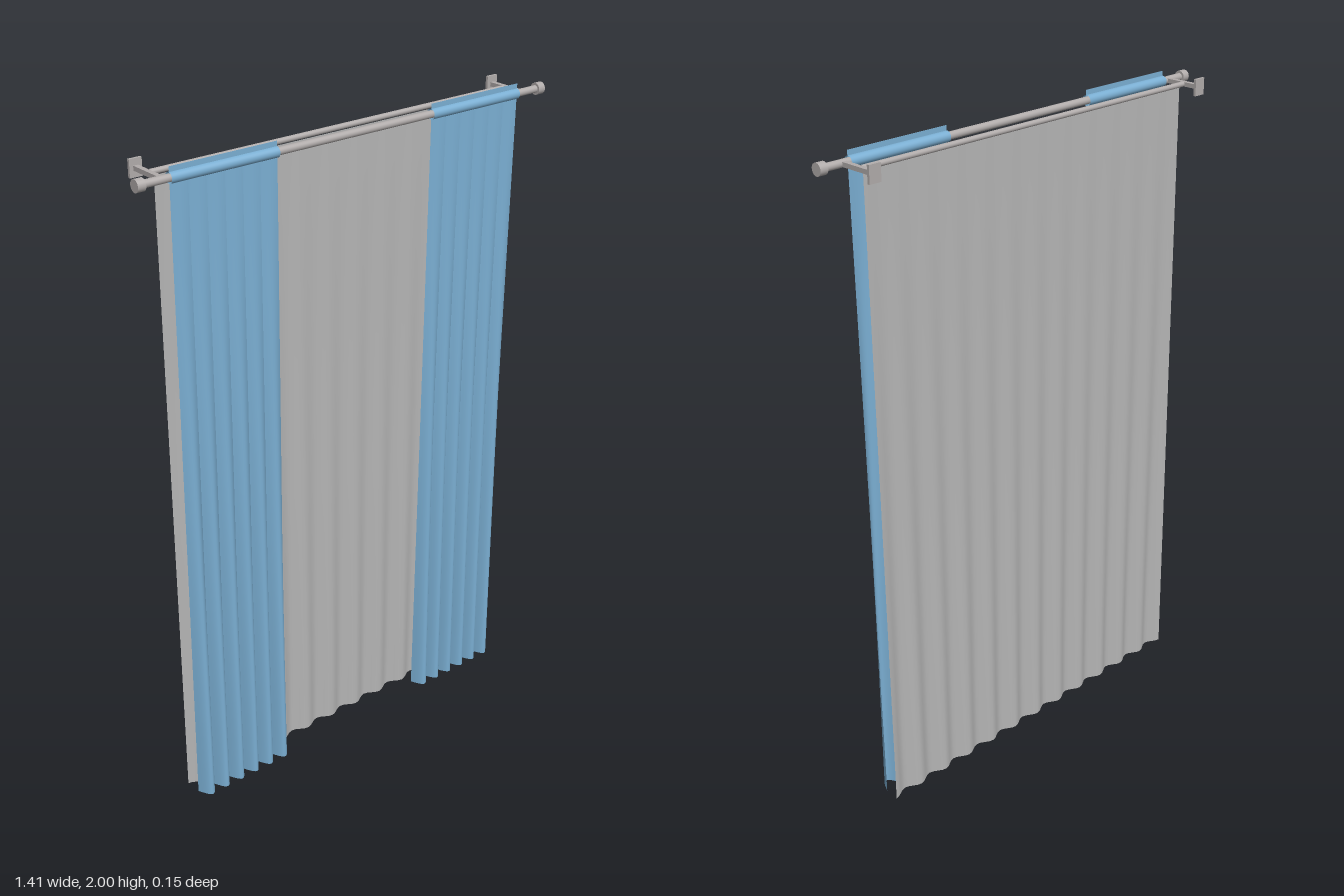
import * as THREE from 'three';

const mat = (name, color, side = THREE.FrontSide) =>
  new THREE.MeshStandardMaterial({ name, color, side });

// Hanging cloth: a flat sheet whose folds deepen from the top edge to the hem
function cloth(x0, x1, top, segments, fold) {
  const geo = new THREE.PlaneGeometry(x1 - x0, top, segments, 10);
  geo.translate((x0 + x1) / 2, top / 2, 0);
  const p = geo.attributes.position;
  for (let i = 0; i < p.count; i++) {
    const u = (p.getX(i) - x0) / (x1 - x0);
    p.setZ(i, fold(u, 1 - p.getY(i) / top));
  }
  geo.computeVertexNormals();
  return geo;
}

export function createModel() {
  const model = new THREE.Group();
  const blue = mat('blue fabric', 0x7aaed2, THREE.DoubleSide);
  const grey = mat('sheer grey fabric', 0xb4b4b4, THREE.DoubleSide);
  const metal = mat('rod metal', 0xb0abaa);

  const add = (name, geo, material, x = 0, y = 0, z = 0, parent = model) => {
    const mesh = new THREE.Mesh(geo, material);
    mesh.name = name;
    mesh.position.set(x, y, z);
    parent.add(mesh);
    return mesh;
  };
  // Cylinder lying along x
  const bar = (radius, length, open = false) =>
    new THREE.CylinderGeometry(radius, radius, length, 24, 1, open).rotateZ(Math.PI / 2);

  const rodY = 1.97, rodZ = 0.053, sheerZ = -0.015;

  // Rods
  add('frontRod', bar(0.011, 1.38), metal, 0, rodY, rodZ);
  add('backRod', bar(0.008, 1.24), metal, 0, rodY, sheerZ);

  // Sheer panel with twelve soft waves
  const wave = (u, drop) => -0.009 - 0.0105 * drop * Math.cos(u * 12 * Math.PI * 2);
  add('sheerPanel', cloth(-0.61, 0.61, 1.962, 96, wave), grey);

  for (const side of [-1, 1]) {
    const label = side > 0 ? 'left' : 'right';

    // Finial and wall bracket
    add(label + 'Finial', bar(0.0178, 0.024), metal, side * 0.695, rodY, rodZ);
    const bracket = new THREE.Group();
    bracket.name = label + 'Bracket';
    model.add(bracket);
    add('bracketArm', new THREE.BoxGeometry(0.015, 0.013, 0.125), metal,
      side * 0.625, rodY, -0.0095, bracket);
    add('wallPlate', new THREE.BoxGeometry(0.038, 0.05, 0.008), metal,
      side * 0.625, rodY, -0.071, bracket);

    // Curtain: six rounded pleats meeting in sharp creases at the back
    const curtain = new THREE.Group();
    curtain.name = label + 'Curtain';
    model.add(curtain);
    const inner = 0.27, outer = 0.606, count = 6;
    const start = side > 0 ? inner : -outer, step = (outer - inner) / count;
    const pleat = (u, drop) => 0.055 + 0.04 * drop * (Math.sin(u * Math.PI) - 0.637);
    for (let i = 0; i < count; i++) {
      const x = start + i * step;
      add('pleat', cloth(x, x + step, rodY, 10, pleat), blue, 0, 0, 0, curtain);
    }

    // Rod pocket and the header standing above it
    const mid = side * (inner + outer) / 2;
    add('rodPocket', bar(0.0155, outer - inner, true), blue, mid, rodY, rodZ, curtain);
    add('header', new THREE.PlaneGeometry(outer - inner, 0.03), blue, mid, 1.985, 0.055, curtain);
  }
  return model;
}
